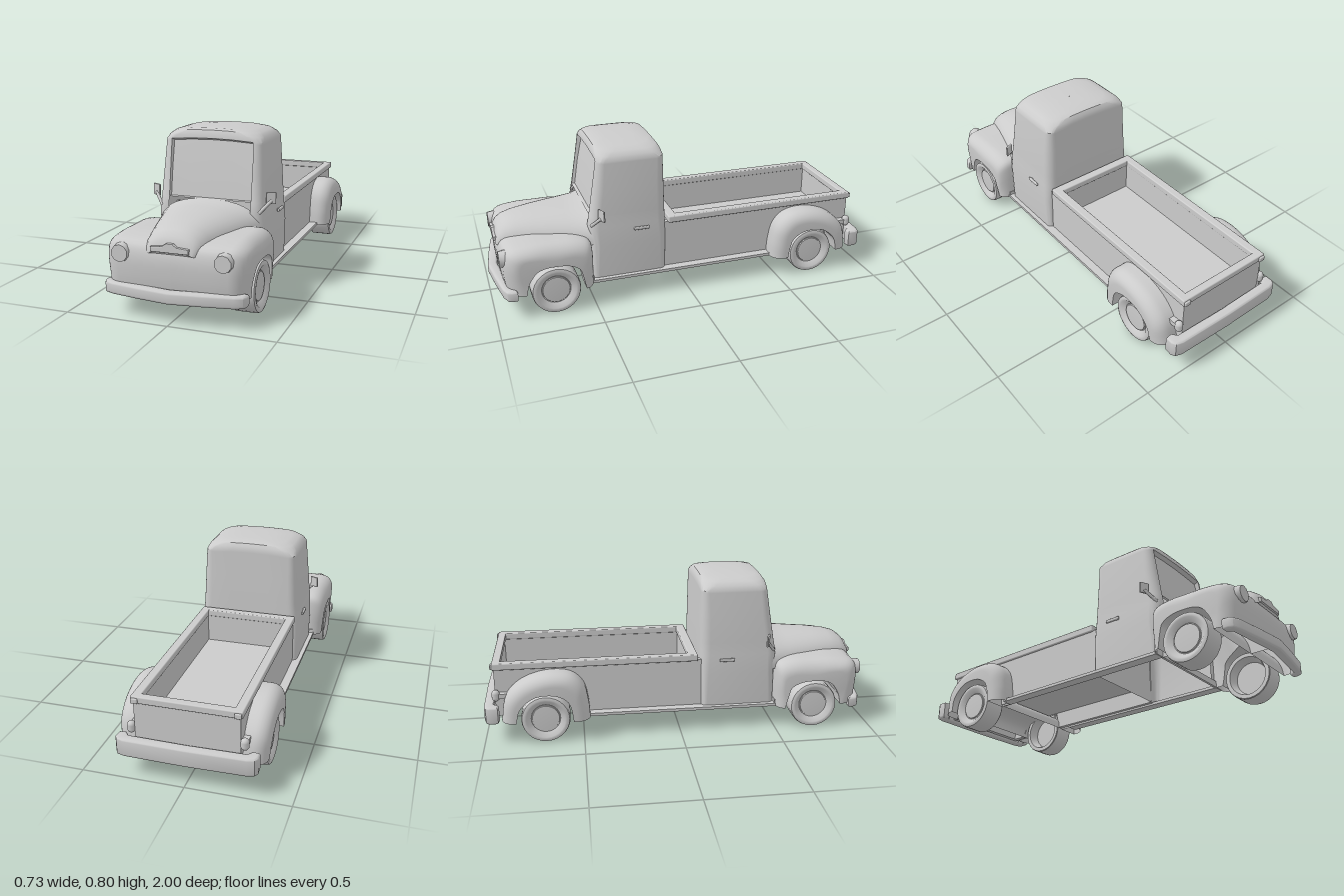
import * as THREE from 'three';
import { toCreasedNormals } from 'three/addons/utils/BufferGeometryUtils.js';
import { RoundedBoxGeometry } from 'three/addons/geometries/RoundedBoxGeometry.js';

const grey = new THREE.MeshStandardMaterial({ color: 0xcccccc, side: THREE.DoubleSide });

function add(parent, name, geometry, x = 0, y = 0, z = 0) {
  const mesh = new THREE.Mesh(geometry, grey);
  mesh.name = name;
  mesh.position.set(x, y, z);
  parent.add(mesh);
}

// Box given by its extents
function box(parent, name, [x0, x1], [y0, y1], [z0, z1], round = 0) {
  const s = [x1 - x0, y1 - y0, z1 - z0];
  const g = round ? new RoundedBoxGeometry(...s, 3, round) : new THREE.BoxGeometry(...s);
  add(parent, name, g, (x0 + x1) / 2, (y0 + y1) / 2, (z0 + z1) / 2);
}

const shapeOf = (points) => new THREE.Shape(points.map((p) => new THREE.Vector2(...p)));

// Surface through rows of points; keep(column, row) can leave openings
function loft(rows, crease = 0.6, keep = () => true) {
  const n = rows[0].length, index = [];
  for (let j = 0; j < rows.length - 1; j++) {
    for (let i = 0; i < n - 1; i++) {
      const a = j * n + i, b = a + n;
      if (keep(i, j)) index.push(a, a + 1, b, a + 1, b + 1, b);
    }
  }
  const g = new THREE.BufferGeometry();
  g.setAttribute('position', new THREE.Float32BufferAttribute(rows.flat(2), 3));
  g.setIndex(index);
  return toCreasedNormals(g, crease);
}

// Cab: horizontal rounded rectangles stacked upward, with a sunken windscreen
function cabGeometry() {
  // y, half width, back z, front z, corner radius, windscreen depth, crown
  const levels = [
    [0.12, 0.272, 0.115, 0.5, 0.03, 0, 0], [0.3, 0.278, 0.11, 0.5, 0.04, 0, 0],
    [0.4, 0.272, 0.108, 0.51, 0.05, 0, 0], [0.458, 0.268, 0.109, 0.5, 0.05, 0, 0],
    [0.461, 0.268, 0.109, 0.499, 0.05, 0.016, 0], [0.6, 0.26, 0.111, 0.477, 0.048, 0.016, 0.004],
    [0.726, 0.251, 0.114, 0.457, 0.039, 0.024, 0.012], [0.736, 0.25, 0.114, 0.456, 0.039, 0, 0.012],
    [0.758, 0.241, 0.119, 0.453, 0.065, 0, 0.012], [0.774, 0.22, 0.13, 0.443, 0.085, 0, 0.012],
    [0.783, 0.18, 0.155, 0.42, 0.095, 0, 0.01], [0.791, 0.1, 0.21, 0.36, 0.07, 0, 0.004],
    [0.796, 0.001, 0.28, 0.282, 0.001, 0, 0],
  ];
  const rows = levels.map(([y, w, zb, zf, r, sink, crown]) => {
    const half = [];
    for (const fx of [0, 0.1, 0.207, 0.211]) {
      const x = Math.min(fx, (w - r) * fx / 0.211);
      half.push([x, y, zf - (fx < 0.21 ? sink : 0)]);
    }
    for (const [zc, start] of [[zf - r, 1], [zb + r, 0]]) {
      for (let i = 0; i <= 6; i++) {
        const a = (start - i / 6) * Math.PI / 2;
        half.push([w - r + r * Math.cos(a), y, zc + r * Math.sin(a)]);
      }
    }
    half.push([(w - r) / 2, y, zb], [0, y, zb]);
    for (const p of half) p[1] += crown * Math.max(0, 1 - (p[0] / 0.24) ** 2);
    return [...half, ...half.slice(0, -1).reverse().map(([x, py, z]) => [-x, py, z])];
  });
  // Below the windscreen the cab is open towards the hood
  const last = rows[0].length - 2;
  return loft(rows, 0.6, (i, j) => j > 2 || (i > 2 && i < last - 2));
}

// Hood: arched sections from the cab to the nose
function hoodGeometry() {
  const sections = [ // z, half width, top
    [0.49, 0.268, 0.459], [0.52, 0.255, 0.45], [0.6, 0.23, 0.446], [0.75, 0.185, 0.438], [0.85, 0.155, 0.427],
    [0.905, 0.138, 0.412], [0.935, 0.125, 0.39], [0.95, 0.112, 0.362], [0.957, 0.1, 0.325], [0.95, 0.1, 0.312],
  ];
  return loft(sections.map(([z, w, top]) => {
    const row = [];
    for (let i = 0; i <= 20; i++) {
      const a = i / 20 * Math.PI, c = Math.cos(a);
      row.push([w * Math.sign(c) * Math.abs(c) ** 0.85, 0.31 + (top - 0.31) * Math.sin(a) ** 0.85, z]);
    }
    return row;
  }));
}

// Fender with liner: swept around the wheel between an outer line and the wheel arch
// Stations: outer z, outer y, arch z, arch y, inner x, outer x
function fenderGeometry(stations, r, bow = 0) {
  const curve = (f) => new THREE.CatmullRomCurve3(stations.map(f).map((p) => new THREE.Vector3(...p)));
  const outer = curve((s) => [s[4], s[1], s[0]]), arch = curve((s) => [s[5], s[3], s[2]]);
  const rows = [], steps = 36;
  for (let j = 0; j <= steps; j++) {
    const o = outer.getPoint(j / steps), a = arch.getPoint(j / steps);
    const len = Math.hypot(a.y - o.y, a.z - o.z), k = Math.min(1, r / len);
    const at = (x, f) => {
      const z = o.z + (a.z - o.z) * f;
      const push = bow * Math.max(0, (z - 0.85) / 0.1) * (1 - (x / a.x) ** 2);
      return [x, o.y + (a.y - o.y) * f, z + push];
    };
    const row = [0, 0.33, 0.67].map((f) => at(o.x + (a.x - r - o.x) * f, 0));
    for (let i = 0; i <= 7; i++) {
      const t = i / 7 * Math.PI / 2;
      row.push(at(a.x - r + r * Math.sin(t), k * (1 - Math.cos(t))));
    }
    row.push(at(a.x, 1), at(o.x, 1), at(o.x, 0));
    rows.push(row);
  }
  return loft(rows, 0.8);
}

// Bumper: plan outline (x, z of one half) extruded upward
function bumperGeometry(half, height, bevel) {
  const outline = [...half, ...half.slice().reverse().map(([x, z]) => [-x, z])];
  const g = new THREE.ExtrudeGeometry(shapeOf(outline.map(([x, z]) => [x, -z])), {
    depth: height - 2 * bevel, bevelThickness: bevel, bevelSize: bevel, bevelOffset: -bevel, bevelSegments: 3,
  });
  g.rotateX(-Math.PI / 2).translate(0, bevel, 0);
  return toCreasedNormals(g, 0.7);
}

// Wheel: tyre and dished hub, hollow on the inner side
function wheelGeometry() {
  const profile = [[0, 0.05], [0.085, 0.05], [0.1, 0], [0.12, 0], [0.123, 0.004], [0.123, 0.1],
    [0.119, 0.112], [0.108, 0.116], [0.098, 0.114], [0.074, 0.094], [0.07, 0.094], [0.068, 0.1], [0, 0.103]];
  const g = new THREE.LatheGeometry(profile.map((p) => new THREE.Vector2(...p)), 28);
  return toCreasedNormals(g.rotateZ(-Math.PI / 2), 0.6);
}

// Everything that exists once on each side, made for +x
function buildSide() {
  const side = new THREE.Group();
  add(side, 'frontFender', fenderGeometry([
    [0.925, 0.12, 0.845, 0.12, 0, 0.335], [0.935, 0.2, 0.835, 0.17, 0, 0.335], [0.935, 0.29, 0.815, 0.21, 0, 0.338],
    [0.918, 0.338, 0.79, 0.24, 0, 0.34], [0.83, 0.363, 0.75, 0.256, 0.1, 0.342], [0.7, 0.367, 0.7, 0.26, 0.16, 0.343],
    [0.57, 0.362, 0.63, 0.253, 0.21, 0.343], [0.515, 0.34, 0.58, 0.225, 0.23, 0.342], [0.502, 0.28, 0.565, 0.18, 0.24, 0.34],
    [0.502, 0.11, 0.55, 0.11, 0.24, 0.335],
  ], 0.075, 0.022));
  add(side, 'rearFender', fenderGeometry([
    [-0.465, 0.11, -0.55, 0.11, 0.245, 0.355], [-0.472, 0.2, -0.56, 0.18, 0.245, 0.358], [-0.495, 0.29, -0.575, 0.22, 0.245, 0.36],
    [-0.55, 0.345, -0.62, 0.252, 0.245, 0.362], [-0.63, 0.362, -0.68, 0.262, 0.245, 0.363], [-0.73, 0.35, -0.74, 0.253, 0.245, 0.363],
    [-0.82, 0.31, -0.79, 0.22, 0.245, 0.362], [-0.885, 0.24, -0.82, 0.18, 0.245, 0.36], [-0.91, 0.115, -0.835, 0.115, 0.245, 0.355],
  ], 0.065));
  add(side, 'frontWheel', wheelGeometry(), 0.225, 0.124, 0.7);
  add(side, 'rearWheel', wheelGeometry(), 0.225, 0.124, -0.69);
  box(side, 'runningBoard', [0.24, 0.295], [0.11, 0.125], [-0.49, 0.51]);

  // Bed side, cut out over the rear wheel
  const wall = shapeOf([[-0.115, 0.12], [0.55, 0.12], [0.575, 0.208], [0.805, 0.208], [0.835, 0.12],
    [0.94, 0.12], [0.94, 0.375], [-0.115, 0.375]]);
  const wallGeometry = new THREE.ExtrudeGeometry(wall, { depth: 0.028, bevelEnabled: false });
  add(side, 'bedSideWall', wallGeometry.rotateY(Math.PI / 2).translate(0.222, 0, 0));
  box(side, 'bedRail', [0.218, 0.262], [0.37, 0.405], [-0.945, 0.095], 0.006);
  box(side, 'tailgateLatch', [0.225, 0.258], [0.372, 0.398], [-0.957, -0.935], 0.005);

  // Lamps
  const lamp = new THREE.CylinderGeometry(0.04, 0.046, 0.045, 10).rotateX(Math.PI / 2);
  add(side, 'headlight', toCreasedNormals(lamp, 0.8), 0.245, 0.296, 0.939);
  add(side, 'tailLight', new THREE.CapsuleGeometry(0.02, 0.02, 4, 12), 0.268, 0.24, -0.935);
  box(side, 'tailLightMount', [0.245, 0.28], [0.225, 0.25], [-0.93, -0.88]);

  // Door handle and slanted mirror
  box(side, 'doorHandle', [0.276, 0.288], [0.368, 0.384], [0.205, 0.285], 0.005);
  box(side, 'doorHandleStem', [0.262, 0.28], [0.37, 0.382], [0.26, 0.275]);
  add(side, 'mirror', new RoundedBoxGeometry(0.048, 0.058, 0.01, 2, 0.004).rotateY(0.45), 0.298, 0.477, 0.453);
  const arm = new THREE.LineCurve3(new THREE.Vector3(0.25, 0.408, 0.497), new THREE.Vector3(0.3, 0.465, 0.455));
  add(side, 'mirrorArm', new THREE.TubeGeometry(arm, 1, 0.008, 8));
  return side;
}

export function createModel() {
  const truck = new THREE.Group();
  truck.name = 'pickupTruck';

  add(truck, 'cab', cabGeometry());
  add(truck, 'hood', hoodGeometry());
  box(truck, 'firewallBeam', [-0.29, 0.29], [0.112, 0.145], [0.5, 0.512]);

  const left = buildSide();
  left.name = 'leftSide';
  const right = left.clone();
  right.name = 'rightSide';
  right.scale.x = -1;
  truck.add(left, right);

  // Cargo bed, with a wheel tunnel running across below it
  box(truck, 'bedFloor', [-0.235, 0.235], [0.21, 0.222], [-0.93, 0.08]);
  box(truck, 'bedFrontWall', [-0.25, 0.25], [0.18, 0.375], [0.055, 0.09]);
  box(truck, 'bedFrontRail', [-0.262, 0.262], [0.37, 0.405], [0.048, 0.095], 0.006);
  box(truck, 'tailgate', [-0.25, 0.25], [0.12, 0.375], [-0.94, -0.915]);
  box(truck, 'tailgateRail', [-0.262, 0.262], [0.37, 0.405], [-0.948, -0.908], 0.006);
  const tunnel = [];
  for (let i = 0; i <= 12; i++) {
    const a = i / 12 * Math.PI, y = 0.115 + 0.093 * Math.sin(a) ** 0.7, z = -0.692 + 0.142 * Math.cos(a);
    tunnel.push([[0.25, y, z], [-0.25, y, z]]);
  }
  add(truck, 'rearWheelTunnel', loft(tunnel));

  // Bumpers
  add(truck, 'frontBumper', bumperGeometry([
    [0, 0.999], [0.15, 0.98], [0.29, 0.957], [0.33, 0.94], [0.341, 0.92], [0.341, 0.89], [0.31, 0.89], [0.29, 0.915], [0, 0.95],
  ], 0.057, 0.012), 0, 0.098, 0);
  add(truck, 'rearBumper', bumperGeometry([
    [0, -1], [0.29, -0.995], [0.325, -0.985], [0.337, -0.965], [0.335, -0.925], [0.3, -0.92], [0.28, -0.945], [0, -0.95],
  ], 0.09, 0.01), 0, 0.11, 0);

  // Blank trim bar on the nose
  const trim = [[-0.09, 0], [0.09, 0], [0.09, 0.023], [0.035, 0.028], [0.015, 0.042], [-0.015, 0.042], [-0.035, 0.028], [-0.09, 0.023]];
  add(truck, 'noseTrim', new THREE.ExtrudeGeometry(shapeOf(trim), {
    depth: 0.02, bevelThickness: 0.004, bevelSize: 0.004, bevelOffset: -0.004, bevelSegments: 2,
  }), 0, 0.322, 0.942);

  return truck;
}
